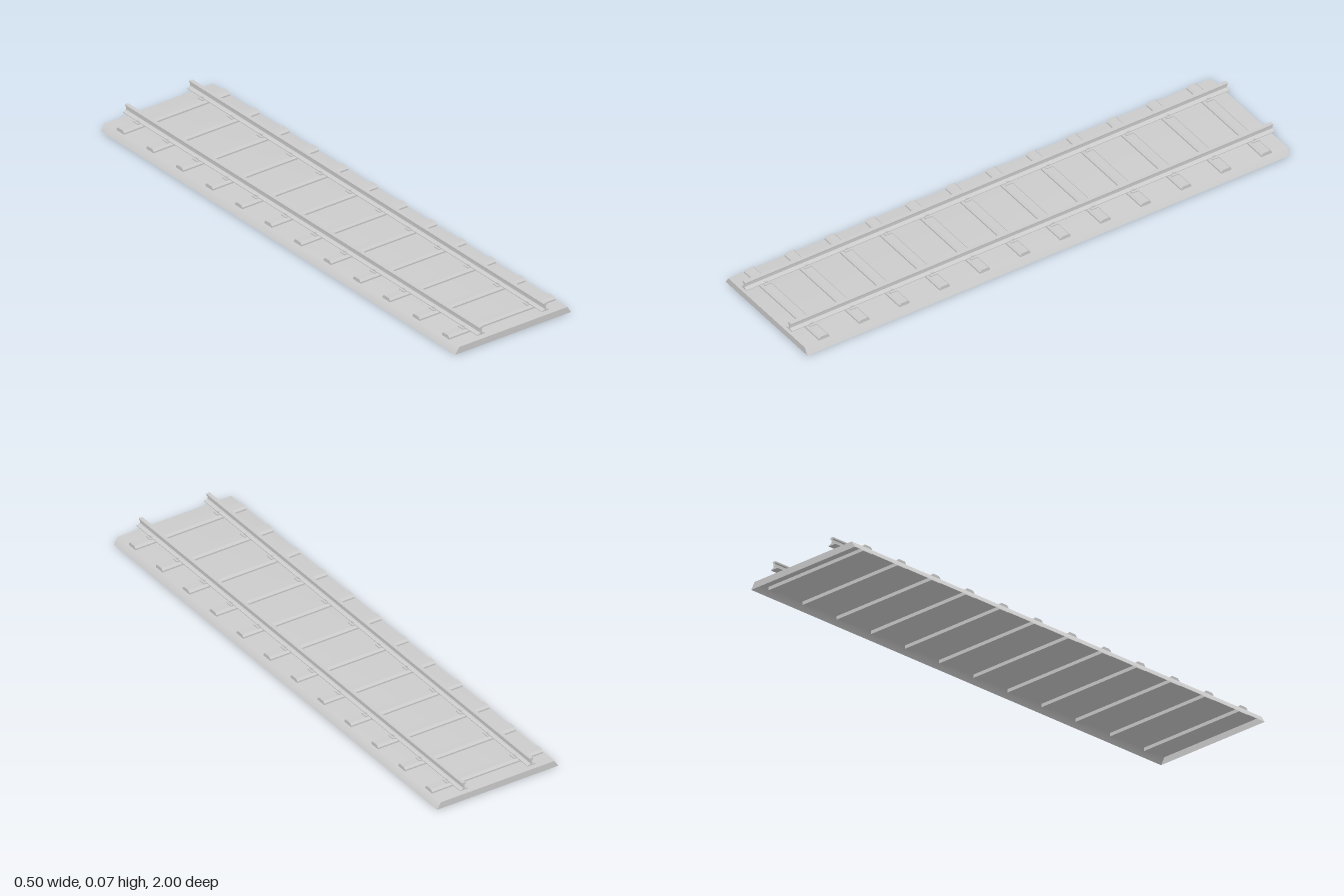
import * as THREE from 'three';

const material = new THREE.MeshStandardMaterial({ color: 0xcccccc });
const shellMaterial = new THREE.MeshStandardMaterial({ color: 0xcccccc, side: THREE.DoubleSide });

const LENGTH = 2;
const BED_TOP = 0.025;
const SLEEPER_TOP = 0.0385;
const RAIL_X = 0.139;

function add(parent, name, geometry, x = 0, y = 0, z = 0, mat = material) {
  const mesh = new THREE.Mesh(geometry, mat);
  mesh.name = name;
  mesh.position.set(x, y, z);
  parent.add(mesh);
  return mesh;
}

// Extrude a closed outline along z, centred on z = 0
function prism(points, length) {
  const shape = new THREE.Shape(points.map(([x, y]) => new THREE.Vector2(x, y)));
  return new THREE.ExtrudeGeometry(shape, { depth: length, bevelEnabled: false }).translate(0, 0, -length / 2);
}

// Mirror the right half of an outline to close it
function symmetric(half) {
  return [...half, ...half.map(([x, y]) => [-x, y]).reverse()];
}

// Softly shaded sheet through a cross-section, open underneath
function bedSheet(profile) {
  const positions = [], index = [];
  for (const [x, y] of profile) positions.push(x, y, LENGTH / 2, x, y, -LENGTH / 2);
  for (let i = 0; i < profile.length - 1; i++) {
    const a = i * 2;
    index.push(a, a + 2, a + 1, a + 1, a + 2, a + 3);
  }
  const geometry = new THREE.BufferGeometry();
  geometry.setAttribute('position', new THREE.Float32BufferAttribute(positions, 3));
  geometry.setIndex(index);
  geometry.computeVertexNormals();
  return geometry;
}

export function createModel() {
  const model = new THREE.Group();
  model.name = 'railwayTrack';

  // Ballast bed: hollow shell with a flat cap at each end
  const bed = new THREE.Group();
  bed.name = 'ballastBed';
  model.add(bed);
  const profile = [[-0.25, 0], [-0.234, BED_TOP], [0.234, BED_TOP], [0.25, 0]];
  add(bed, 'bedSheet', bedSheet(profile), 0, 0, 0, shellMaterial);
  const cap = new THREE.ShapeGeometry(new THREE.Shape(profile.map(([x, y]) => new THREE.Vector2(x, y))));
  add(bed, 'frontCap', cap, 0, 0, LENGTH / 2, shellMaterial);
  add(bed, 'backCap', cap, 0, 0, -LENGTH / 2, shellMaterial).rotation.y = Math.PI;

  // Sleepers with chamfered top edges, sunk into the bed
  const sleeperGeometry = prism(symmetric([
    [0.021, 0.012], [0.021, 0.031], [0.014, SLEEPER_TOP],
  ]), 0.458).rotateY(Math.PI / 2);
  const plateGeometry = new THREE.BoxGeometry(0.05, 0.0035, 0.027);
  const clipGeometry = new THREE.BoxGeometry(0.007, 0.005, 0.012);
  const count = 12;
  for (let i = 0; i < count; i++) {
    const z = ((i + 0.5) / count - 0.5) * LENGTH;
    const group = new THREE.Group();
    group.name = 'sleeperAssembly';
    group.position.z = z;
    model.add(group);
    add(group, 'sleeper', sleeperGeometry);
    for (const side of [-1, 1]) {
      // Base plate and the two clips holding the rail foot
      add(group, 'basePlate', plateGeometry, side * RAIL_X, SLEEPER_TOP + 0.00175);
      for (const edge of [-1, 1]) {
        add(group, 'railClip', clipGeometry, side * RAIL_X + edge * 0.0135, 0.0443);
      }
    }
  }

  // Rails: wide foot, thin web and narrow head
  const railGeometry = prism(symmetric([
    [0.016, 0.042], [0.016, 0.0445], [0.005, 0.0475], [0.0025, 0.05],
    [0.0025, 0.062], [0.007, 0.0645], [0.0075, 0.069], [0.006, 0.0715],
  ]), LENGTH);
  for (const side of [-1, 1]) {
    add(model, side > 0 ? 'leftRail' : 'rightRail', railGeometry, side * RAIL_X);
  }

  return model;
}
